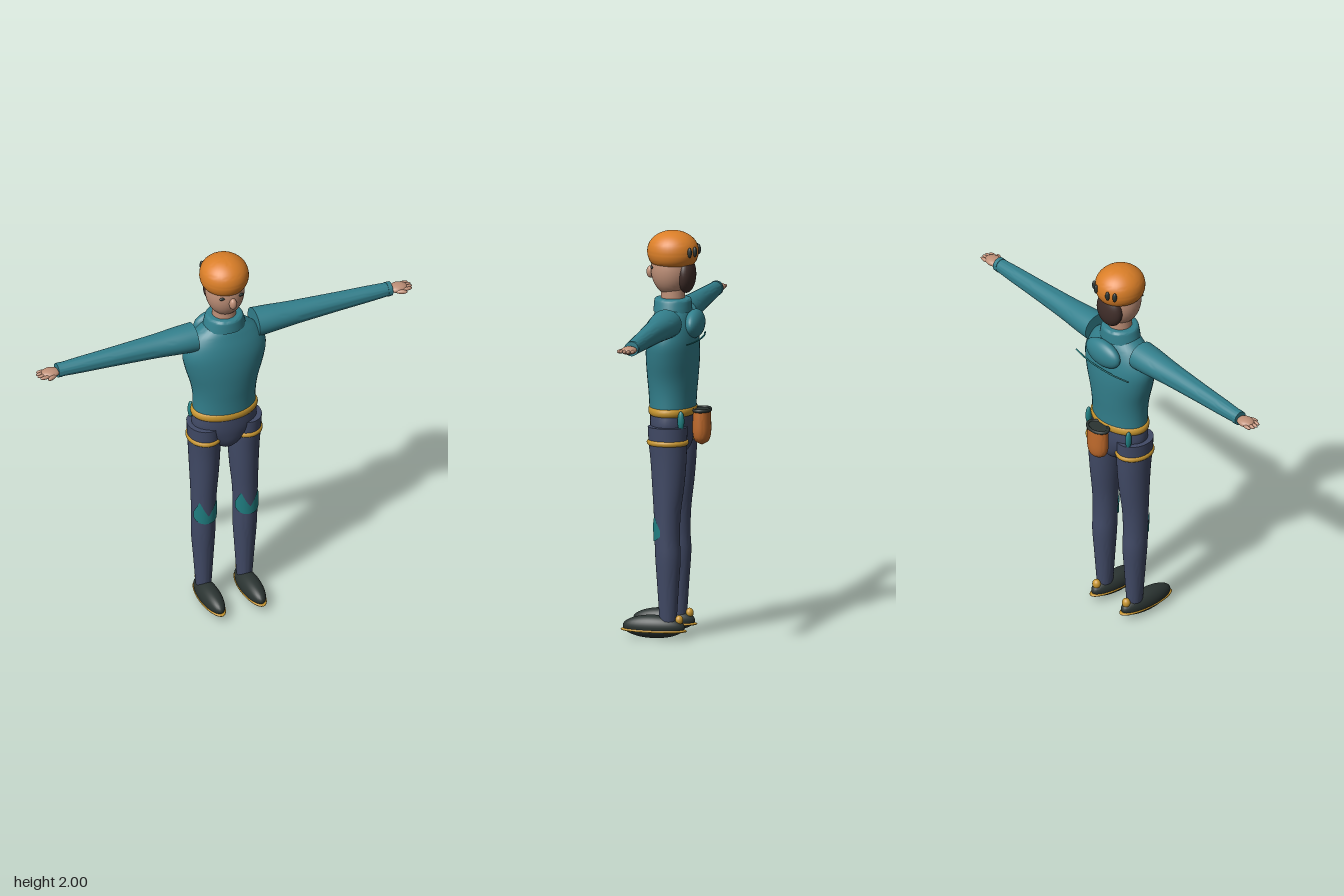
import * as THREE from 'three';
import { mergeVertices, toCreasedNormals } from 'three/addons/utils/BufferGeometryUtils.js';

const mat = (name, color, side = THREE.FrontSide) => {
  const m = new THREE.MeshStandardMaterial({ color, side });
  m.name = name;
  return m;
};

// Smoothly interpolated cross-section from rows of [y, cx, cz, rx, rz]
function section(rows, t) {
  const n = rows.length - 1;
  const i = Math.min(n - 1, Math.floor(t * n));
  const f = t * n - i;
  const a = rows[Math.max(0, i - 1)], b = rows[i], c = rows[i + 1], d = rows[Math.min(n, i + 2)];
  return b.map((v, k) => v + 0.5 * f * (c[k] - a[k]
    + f * (2 * a[k] - 5 * v + 4 * c[k] - d[k] + f * (3 * (v - c[k]) + d[k] - a[k]))));
}

// Capped body of elliptical sections, rows run from top to bottom
function loft(rows, sides = 36) {
  let g = new THREE.CylinderGeometry(1, 1, 1, sides, (rows.length - 1) * 4);
  const p = g.attributes.position;
  for (let i = 0; i < p.count; i++) {
    const [y, cx, cz, rx, rz] = section(rows, THREE.MathUtils.clamp(0.5 - p.getY(i), 0, 1));
    p.setXYZ(i, cx + p.getX(i) * rx, y, cz + p.getZ(i) * rz);
  }
  g.deleteAttribute('uv');
  g.deleteAttribute('normal');
  return toCreasedNormals(mergeVertices(g, 1e-5), 0.9);
}

const ball = (rx, ry, rz) => new THREE.SphereGeometry(1, 32, 20).scale(rx, ry, rz);

// Horizontal elliptical band with its own thickness and height
function band(rx, rz, thick, height) {
  const g = new THREE.TorusGeometry(1, thick / rx, 10, 40).rotateX(Math.PI / 2);
  return g.scale(rx, (height * rx) / thick, rz);
}

const LEG = [
  [1.05, 0.108, -0.02, 0.082, 0.098],
  [0.97, 0.106, -0.02, 0.08, 0.094],
  [0.88, 0.104, -0.023, 0.077, 0.088],
  [0.76, 0.105, -0.022, 0.071, 0.079],
  [0.62, 0.109, -0.018, 0.063, 0.066],
  [0.50, 0.110, -0.018, 0.060, 0.062],
  [0.40, 0.110, -0.022, 0.059, 0.062],
  [0.25, 0.109, -0.022, 0.049, 0.052],
  [0.09, 0.108, -0.022, 0.038, 0.042],
];

// Leg section at a given height
function legAt(y) {
  let i = 0;
  while (i < LEG.length - 2 && LEG[i + 1][0] > y) i++;
  const f = (LEG[i][0] - y) / (LEG[i][0] - LEG[i + 1][0]);
  return LEG[i].map((v, k) => v + (LEG[i + 1][k] - v) * f);
}

// Curved knee patch with two points and a notch between them
function kneePatch(s) {
  const g = new THREE.PlaneGeometry(2, 1, 32, 10);
  const p = g.attributes.position;
  for (let i = 0; i < p.count; i++) {
    const u = p.getX(i), w = Math.abs(u);
    const top = w < 0.55 ? 0.53 + 0.085 * Math.pow(w / 0.55, 1.2) : 0.615 - 0.07 * (w - 0.55) / 0.45;
    const bottom = 0.485 + 0.03 * w ** 3;
    const y = bottom + (top - bottom) * (p.getY(i) + 0.5);
    const [, cx, cz, rx, rz] = legAt(y);
    const a = u * 1.25;
    p.setXYZ(i, s * cx + Math.sin(a) * (rx + 0.005), y, cz + Math.cos(a) * (rz + 0.005));
  }
  g.computeVertexNormals();
  return g;
}

export function createModel() {
  const root = new THREE.Group();
  root.name = 'climber';
  const teal = mat('jacketTeal', 0x33808d);
  const green = mat('gearTeal', 0x207f82, THREE.DoubleSide);
  const navy = mat('trouserNavy', 0x414a66);
  const orange = mat('helmetOrange', 0xdb7f28);
  const ochre = mat('webbingOchre', 0xc8962f);
  const skin = mat('skin', 0xbf9078);
  const brown = mat('hairBrown', 0x402e2a);
  const black = mat('shoeBlack', 0x2b3432);
  const rust = mat('bagRust', 0xbf6a2c);

  const add = (name, geometry, material, x = 0, y = 0, z = 0) => {
    const m = new THREE.Mesh(geometry, material);
    m.name = name;
    m.position.set(x, y, z);
    root.add(m);
    return m;
  };

  // Torso, collar and pelvis
  add('torso', loft([
    [1.63, 0, -0.02, 0.09, 0.07], [1.60, 0, -0.02, 0.13, 0.085],
    [1.57, 0, -0.02, 0.165, 0.096], [1.52, 0, -0.02, 0.20, 0.112],
    [1.46, 0, -0.02, 0.215, 0.123], [1.38, 0, -0.02, 0.20, 0.127],
    [1.28, 0, -0.02, 0.171, 0.122], [1.20, 0, -0.02, 0.16, 0.115],
    [1.11, 0, -0.02, 0.16, 0.11],
  ]), teal);
  add('collar', loft([
    [1.67, 0, -0.02, 0.075, 0.075], [1.665, 0, -0.02, 0.09, 0.088],
    [1.64, 0, -0.02, 0.099, 0.092], [1.605, 0, -0.02, 0.108, 0.094],
  ]), teal);
  add('pelvis', loft([
    [1.12, 0, -0.02, 0.158, 0.106], [1.05, 0, -0.02, 0.166, 0.107],
    [1.0, 0, -0.02, 0.14, 0.102], [0.95, 0, -0.02, 0.09, 0.09],
    [0.91, 0, -0.02, 0.045, 0.06], [0.898, 0, -0.02, 0.004, 0.006],
  ]), navy);
  add('waistBelt', band(0.16, 0.108, 0.012, 0.02), ochre, 0, 1.12, -0.02);

  // Hood and the thin cord across the back
  add('hood', ball(0.115, 0.07, 0.045), teal, 0, 1.545, -0.13);
  const cord = new THREE.CatmullRomCurve3([
    [-0.19, -0.135], [-0.1, -0.152], [0, -0.158], [0.1, -0.152], [0.19, -0.135],
  ].map(([x, z]) => new THREE.Vector3(x, 1.47, z)));
  add('backCord', new THREE.TubeGeometry(cord, 32, 0.004, 8), green);

  // Head
  add('neck', new THREE.CylinderGeometry(0.058, 0.06, 0.12, 28), skin, 0, 1.68, -0.02);
  add('head', ball(0.096, 0.13, 0.1), skin, 0, 1.81, -0.012);
  add('nose', ball(0.019, 0.03, 0.02), skin, 0, 1.792, 0.092);
  add('hair', ball(0.08, 0.09, 0.045), brown, 0, 1.785, -0.088);
  add('helmet', loft([
    [2.0, 0, -0.02, 0.002, 0.002], [1.993, 0, -0.02, 0.045, 0.047],
    [1.972, 0, -0.02, 0.084, 0.088], [1.94, 0, -0.02, 0.111, 0.116],
    [1.90, 0, -0.02, 0.12, 0.126], [1.865, 0, -0.02, 0.115, 0.12],
    [1.84, 0, -0.02, 0.1, 0.106], [1.83, 0, -0.02, 0.08, 0.085],
  ]), orange);

  for (const s of [-1, 1]) {
    add('eye', ball(0.016, 0.008, 0.008), black, s * 0.048, 1.822, 0.073);

    // Lamp clips on the back of the helmet
    for (const a of [0.33, 0.63]) {
      const clip = add('helmetClip', ball(0.011, 0.025, 0.011), black,
        s * 0.126 * Math.sin(a), 1.905, -0.02 - 0.126 * Math.cos(a));
      clip.rotation.y = s * a;
    }

    // Sleeve, cuff and hand
    const along = (rows) => loft(rows).rotateZ(-s * Math.PI / 2);
    add('sleeve', along([
      [0.87, 0, 0, 0.034, 0.033], [0.76, 0, 0, 0.04, 0.04], [0.62, 0, 0, 0.046, 0.046],
      [0.50, 0, 0, 0.052, 0.052], [0.36, 0, 0, 0.058, 0.062], [0.24, 0, 0, 0.066, 0.074],
      [0.16, 0, 0, 0.071, 0.078],
    ]), teal, 0, 1.565, -0.025);
    add('cuff', along([[0.882, 0, 0, 0.036, 0.035], [0.86, 0, 0, 0.037, 0.036]]), teal, 0, 1.565, -0.025);
    add('palm', ball(0.048, 0.02, 0.038), skin, s * 0.918, 1.564, -0.022);
    for (let i = 0; i < 4; i++) {
      const reach = i === 0 || i === 3 ? 0.955 : 0.963;
      add('finger', ball(0.027, 0.009, 0.009), skin, s * reach, 1.563, -0.049 + i * 0.019);
    }
    const thumb = add('thumb', ball(0.03, 0.011, 0.011), skin, s * 0.922, 1.56, 0.016);
    thumb.rotation.y = -s * 0.45;

    // Leg, harness loop and knee patch
    add('leg', loft(LEG.map(([y, cx, ...r]) => [y, s * cx, ...r])), navy);
    add('legLoop', band(0.079, 0.094, 0.008, 0.013), ochre, s * 0.107, 0.973, -0.02);
    add('kneePatch', kneePatch(s), green);

    // Climbing shoe with rand stripe and heel tab
    add('shoe', ball(0.052, 0.057, 0.155), black, s * 0.108, 0.06, 0.05);
    add('shoeRand', band(0.048, 0.15, 0.005, 0.006), ochre, s * 0.108, 0.042, 0.05);
    add('heelTab', ball(0.022, 0.025, 0.02), ochre, s * 0.108, 0.095, -0.077);

    // Gear hanging from the belt
    add('carabiner', ball(0.014, 0.048, 0.017), green, s * 0.145, 1.085, -0.095);
  }

  // Chalk bag
  add('chalkBag', loft([
    [1.12, 0, -0.165, 0.058, 0.042], [1.07, 0, -0.165, 0.061, 0.044],
    [1.01, 0, -0.165, 0.06, 0.044], [0.97, 0, -0.165, 0.045, 0.034],
    [0.95, 0, -0.165, 0.004, 0.004],
  ]), rust);
  add('chalkBagRim', band(0.061, 0.042, 0.009, 0.009), black, 0, 1.122, -0.165);
  add('chalkBagMouth', new THREE.CylinderGeometry(1, 1, 0.006, 32).scale(0.058, 1, 0.041), black, 0, 1.122, -0.165);

  return root;
}
